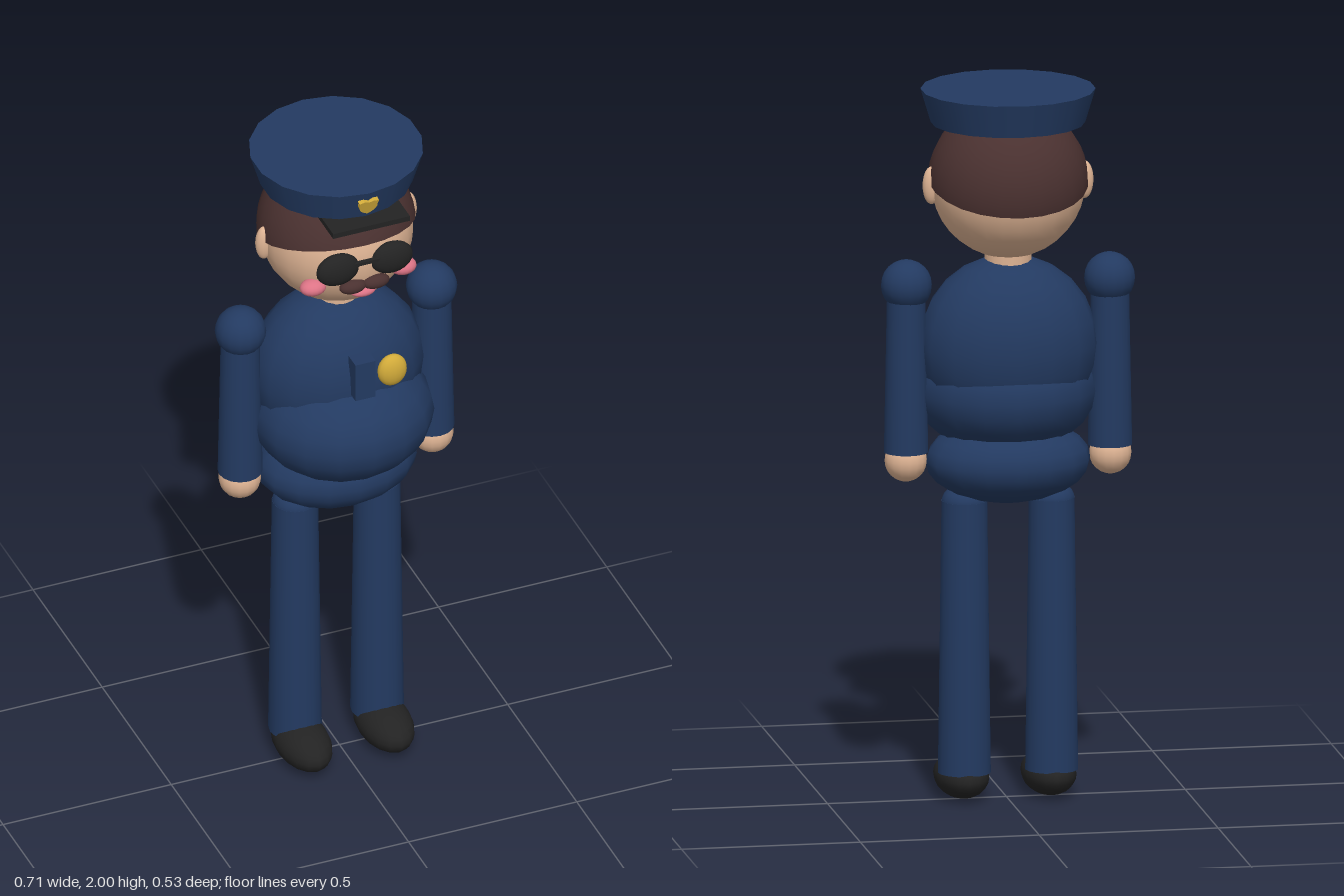
import * as THREE from 'three';

export function createModel() {
  const model = new THREE.Group();
  const mat = (name, color) => {
    const m = new THREE.MeshStandardMaterial({ color });
    m.name = name;
    return m;
  };
  const uniform = mat('uniform blue', 0x233a61);
  const skin = mat('skin', 0xdfb494);
  const brown = mat('dark brown hair', 0x4a3130);
  const black = mat('black', 0x232323);
  const gold = mat('gold', 0xd2ab3a);
  const pink = mat('pink', 0xdd7486);
  const Z = -0.025; // depth of the body axis

  const add = (name, geometry, material, x, y, z) => {
    const mesh = new THREE.Mesh(geometry, material);
    mesh.name = name;
    mesh.position.set(x, y, z);
    model.add(mesh);
    return mesh;
  };
  // ellipsoid given by its three radii
  const ball = (name, material, x, y, z, rx, ry, rz, w = 16, h = 12) =>
    add(name, new THREE.SphereGeometry(1, w, h).scale(rx, ry, rz), material, x, y, z);
  // upright tapered cylinder between two heights
  const post = (name, material, x, y0, y1, z, rTop, rBottom, sides = 16) =>
    add(name, new THREE.CylinderGeometry(rTop, rBottom, y1 - y0, sides), material, x, (y0 + y1) / 2, z);

  // Body
  ball('torso', uniform, 0, 1.28, Z, 0.25, 0.252, 0.188);
  ball('belly', uniform, 0, 1.145, 0.022, 0.255, 0.175, 0.24);
  ball('hips', uniform, 0, 0.956, Z, 0.23, 0.118, 0.178);
  post('neck', skin, 0, 1.48, 1.57, Z, 0.066, 0.066);

  // Chest details
  add('tie', new THREE.BoxGeometry(0.06, 0.12, 0.05), uniform, 0, 1.35, 0.164);
  ball('chestBadge', gold, 0.09, 1.347, 0.162, 0.043, 0.05, 0.025);

  // Limbs, mirrored
  for (const [side, s] of [['left', 1], ['right', -1]]) {
    ball(side + 'Shoulder', uniform, s * 0.284, 1.457, Z, 0.071, 0.071, 0.071);
    post(side + 'Arm', uniform, s * 0.285, 0.988, 1.46, Z, 0.053, 0.062);
    ball(side + 'Hand', skin, s * 0.286, 0.965, Z, 0.059, 0.06, 0.059);
    post(side + 'Leg', uniform, s * 0.122, 0.08, 0.845, Z, 0.064, 0.074);
    ball(side + 'LegTop', uniform, s * 0.122, 0.84, Z, 0.064, 0.05, 0.064);
    ball(side + 'Shoe', black, s * 0.122, 0.062, 0.023, 0.075, 0.062, 0.132);

    // Face pairs
    ball(side + 'Ear', skin, s * 0.214, 1.735, Z, 0.025, 0.053, 0.021);
    ball(side + 'Lens', black, s * 0.08, 1.743, 0.182, 0.063, 0.05, 0.028);
    ball(side + 'Cheek', pink, s * 0.134, 1.668, 0.135, 0.038, 0.024, 0.03);
    ball(side + 'Moustache', brown, s * 0.034, 1.673, 0.18, 0.04, 0.021, 0.022);
  }

  // Head
  ball('head', skin, 0, 1.742, Z, 0.214, 0.215, 0.214, 24, 18);
  const hairCap = new THREE.SphereGeometry(0.221, 24, 10, 0, Math.PI * 2, 0, Math.PI / 2);
  const hairMaterial = brown;
  hairMaterial.side = THREE.DoubleSide;
  add('hair', hairCap, hairMaterial, 0, 1.742, Z).rotation.x = -0.29;
  ball('mouth', pink, 0, 1.644, 0.172, 0.036, 0.015, 0.02);
  add('glassesBridge', new THREE.BoxGeometry(0.08, 0.01, 0.012), black, 0, 1.756, 0.195);

  // Cap: crown, peak and small shield
  const crown = new THREE.CylinderGeometry(0.241, 0.213, 0.094, 18);
  add('capCrown', crown, uniform, 0, 1.953, Z);
  add('capPeak', new THREE.BoxGeometry(0.228, 0.016, 0.18), black, 0, 1.896, 0.142);
  const shield = new THREE.Shape();
  shield.moveTo(0, -0.028);
  shield.quadraticCurveTo(0.03, -0.014, 0.026, 0.008);
  shield.lineTo(0.029, 0.02);
  shield.lineTo(0.014, 0.024);
  shield.lineTo(0, 0.019);
  shield.lineTo(-0.014, 0.024);
  shield.lineTo(-0.029, 0.02);
  shield.lineTo(-0.026, 0.008);
  shield.quadraticCurveTo(-0.03, -0.014, 0, -0.028);
  const shieldGeometry = new THREE.ExtrudeGeometry(shield, { depth: 0.014, bevelEnabled: false });
  add('capBadge', shieldGeometry, gold, 0, 1.955, 0.197).rotation.x = 0.29;

  return model;
}
